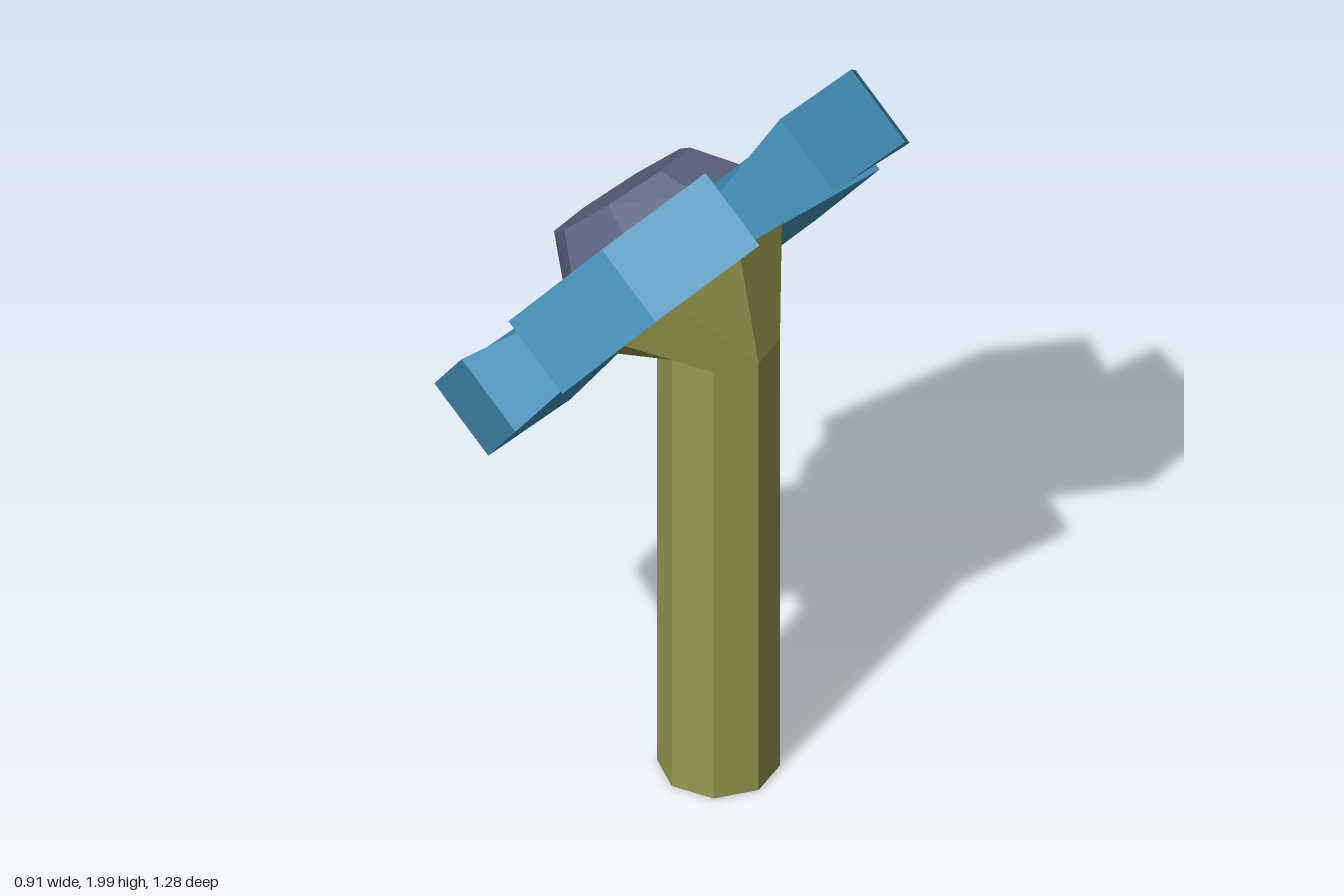
import * as THREE from 'three';

const SIDES = 8, PHASE = 5 * Math.PI / 180;
const V = (x, y, z) => new THREE.Vector3(x, y, z);
const material = (name, color) => {
  const m = new THREE.MeshStandardMaterial({ color, flatShading: true });
  m.name = name;
  return m;
};

// Skin over closed cross-sections, with flat end caps
function loft(rings) {
  const pos = [];
  const tri = (...pts) => pts.forEach(p => pos.push(p.x, p.y, p.z));
  const n = rings[0].length;
  for (let i = 0; i < rings.length - 1; i++) {
    for (let j = 0; j < n; j++) {
      const k = (j + 1) % n;
      const a = rings[i][j], b = rings[i][k], c = rings[i + 1][k], d = rings[i + 1][j];
      tri(a, d, c);
      tri(a, c, b);
    }
  }
  const first = rings[0], last = rings[rings.length - 1];
  for (let j = 1; j < n - 1; j++) {
    tri(first[0], first[j], first[j + 1]);
    tri(last[0], last[j + 1], last[j]);
  }
  const geo = new THREE.BufferGeometry();
  geo.setAttribute('position', new THREE.Float32BufferAttribute(pos, 3));
  geo.computeVertexNormals();
  return geo;
}

// Octagon around (cx, cz); tilt lowers it along +x
function ring(cx, y, cz, r, tilt = 0) {
  return Array.from({ length: SIDES }, (_, i) => {
    const a = PHASE + i * Math.PI * 2 / SIDES;
    const dx = r * Math.cos(a);
    return V(cx + dx, y - tilt * dx, cz + r * Math.sin(a));
  });
}

export function createModel() {
  const model = new THREE.Group();
  model.name = 'flower';
  const petalBlue = material('petalBlue', 0x4592bc);
  const centreGrey = material('centreGrey', 0x5c6480);
  const stemGreen = material('stemGreen', 0x96964f);

  const add = (parent, name, geo, mat) => {
    const mesh = new THREE.Mesh(geo, mat);
    mesh.name = name;
    parent.add(mesh);
  };

  // Tilted flower head: local y is the blossom's facing direction
  const head = new THREE.Group();
  head.name = 'flowerHead';
  const facing = V(-0.77, 0.634, 0.066).normalize();
  const along = V(0.635, 0.772, 0).normalize();
  along.addScaledVector(facing, -along.dot(facing)).normalize();
  const across = along.clone().cross(facing);
  const tilt = new THREE.Matrix4().makeBasis(along, facing, across).setPosition(-0.09, 1.54, 0);

  const hub = (y, r = 0.275, t = 0) => ring(-0.035, y, 0.03, r, t);
  const front = hub(-0.06), back = hub(-0.19);

  // Petals: three outer points each, going round from the upper one
  const outlines = [
    [[0.55, 0.22], [0.416, 0.51], [0.106, 0.64]],
    [[-0.16, 0.63], [-0.437, 0.54], [-0.578, 0.14]],
    [[-0.56, -0.27], [-0.345, -0.61], [-0.044, -0.63]],
    [[0.263, -0.53], [0.515, -0.34], [0.585, -0.03]],
  ];
  outlines.forEach((outline, p) => {
    const sections = outline.map(([x, z], k) => {
      const i = (p * 2 + k) % SIDES;
      return [front[i], V(x, 0, z), V(x, -0.22, z), back[i]];
    });
    add(head, 'petal' + (p + 1), loft(sections), petalBlue);
  });

  // Hub between the petals and the bevelled centre on top of it
  add(head, 'hub', loft([back, hub(-0.02)]), petalBlue);
  add(head, 'flowerCentre', loft([hub(-0.02), hub(0.105, 0.2, 0.125)]), centreGrey);
  head.applyMatrix4(tilt);
  model.add(head);

  // Stem, flaring at the top to meet the back of the hub
  const stemTop = back.map(p => p.clone().applyMatrix4(tilt));
  const stemRing = y => ring(0.115, y, 0.015, 0.15);
  add(model, 'stem', loft([stemRing(0), stemRing(1.28), stemTop]), stemGreen);

  return model;
}
